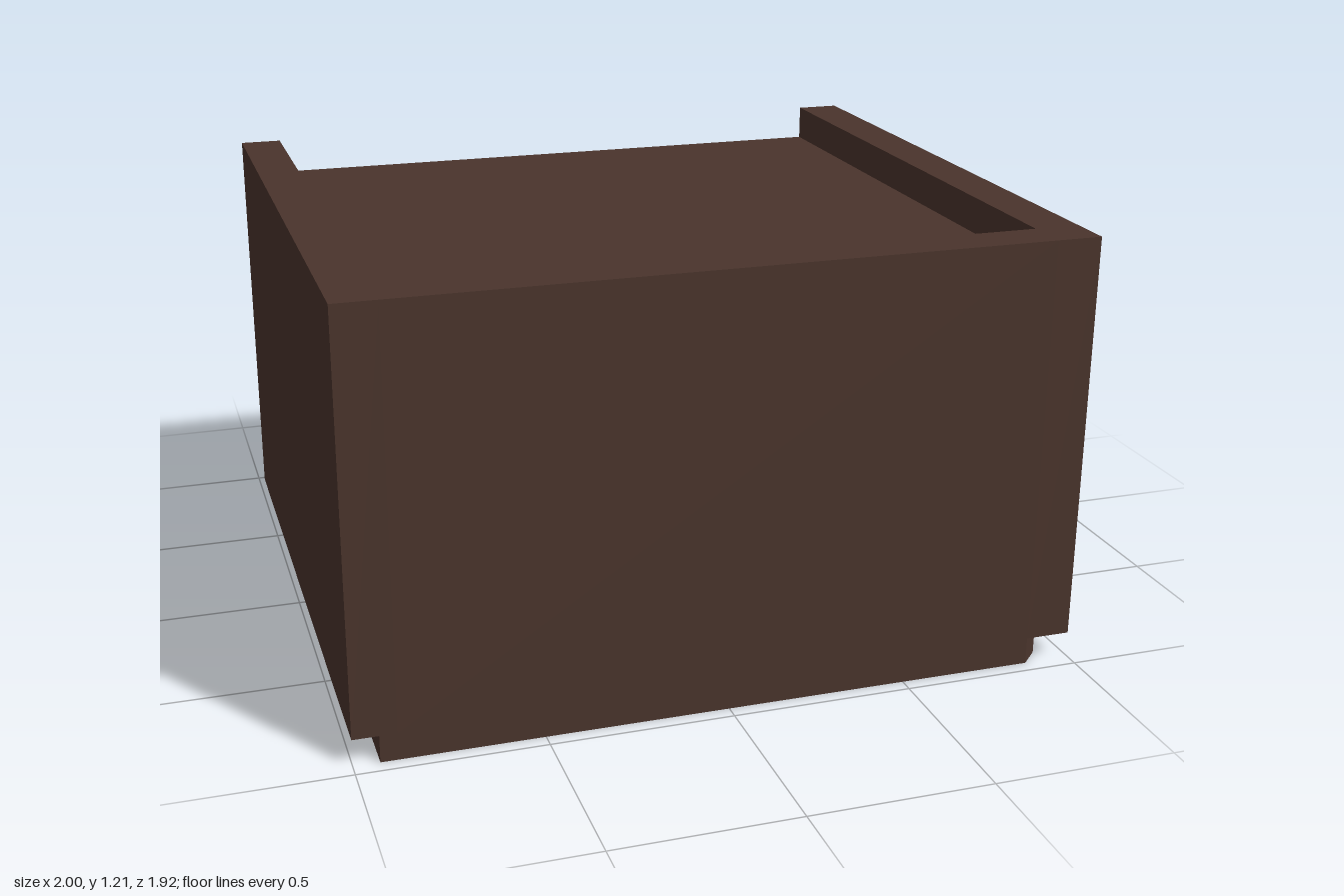
import * as THREE from 'three';

export function createModel() {
  const model = new THREE.Group();
  model.name = 'nightstand';
  const wood = new THREE.MeshStandardMaterial({ color: 0x4a342c });
  wood.name = 'dark brown wood';

  const add = (parent, name, geometry) => {
    const mesh = new THREE.Mesh(geometry, wood);
    mesh.name = name;
    parent.add(mesh);
    return mesh;
  };
  // Box given by its limits on each axis
  const slab = (parent, name, [x0, x1], [y0, y1], [z0, z1]) =>
    add(parent, name, new THREE.BoxGeometry(x1 - x0, y1 - y0, z1 - z0))
      .position.set((x0 + x1) / 2, (y0 + y1) / 2, (z0 + z1) / 2);

  const inner = [-0.883, 0.87];
  const bottom = 0.075, top = 1.21, back = -0.8, front = 0.96, wall = 0.84;

  // Cabinet shell, open towards -z, with a tray-like recessed top
  const cabinet = new THREE.Group();
  cabinet.name = 'cabinet';
  model.add(cabinet);
  slab(cabinet, 'rightSide', [-1, inner[0]], [bottom, top], [back, front]);
  slab(cabinet, 'leftSide', [inner[1], 0.995], [bottom, top], [back, front]);
  slab(cabinet, 'closedWall', inner, [bottom, top], [wall, front]);
  slab(cabinet, 'cabinetFloor', inner, [bottom, 0.195], [back, wall]);
  slab(cabinet, 'recessedTop', inner, [1.06, 1.11], [back, wall]);

  // Plinth with one clipped corner
  const outline = new THREE.Shape([
    [-0.93, -front], [0.87, -front], [0.92, -front + 0.05], [0.92, 0.73], [-0.93, 0.73],
  ].map(([x, y]) => new THREE.Vector2(x, y)));
  const plinth = new THREE.ExtrudeGeometry(outline, { depth: bottom, bevelEnabled: false });
  plinth.rotateX(-Math.PI / 2);
  add(model, 'plinth', plinth);

  // Open drawer box, pulled out slightly
  const drawer = new THREE.Group();
  drawer.name = 'drawer';
  model.add(drawer);
  const t = 0.015, dy = [0.825, 1.055], dz = [-0.88, 0.76];
  const dx = [inner[0] + 0.001, inner[1] - 0.001];
  const between = [dx[0] + t, dx[1] - t];
  slab(drawer, 'drawerRightSide', [dx[0], between[0]], dy, dz);
  slab(drawer, 'drawerLeftSide', [between[1], dx[1]], dy, dz);
  slab(drawer, 'drawerFace', between, dy, [dz[0], dz[0] + t]);
  slab(drawer, 'drawerRear', between, dy, [dz[1] - t, dz[1]]);
  slab(drawer, 'drawerFloor', between, [dy[0], dy[0] + t], [dz[0] + t, dz[1] - t]);

  // Round knob on a short stem
  const stem = add(drawer, 'knobStem', new THREE.CylinderGeometry(0.01, 0.01, 0.05, 16));
  stem.rotation.x = Math.PI / 2;
  stem.position.set(0.01, 0.965, -0.9);
  add(drawer, 'knob', new THREE.SphereGeometry(0.028, 20, 14)).position.set(0.01, 0.965, -0.932);

  return model;
}
